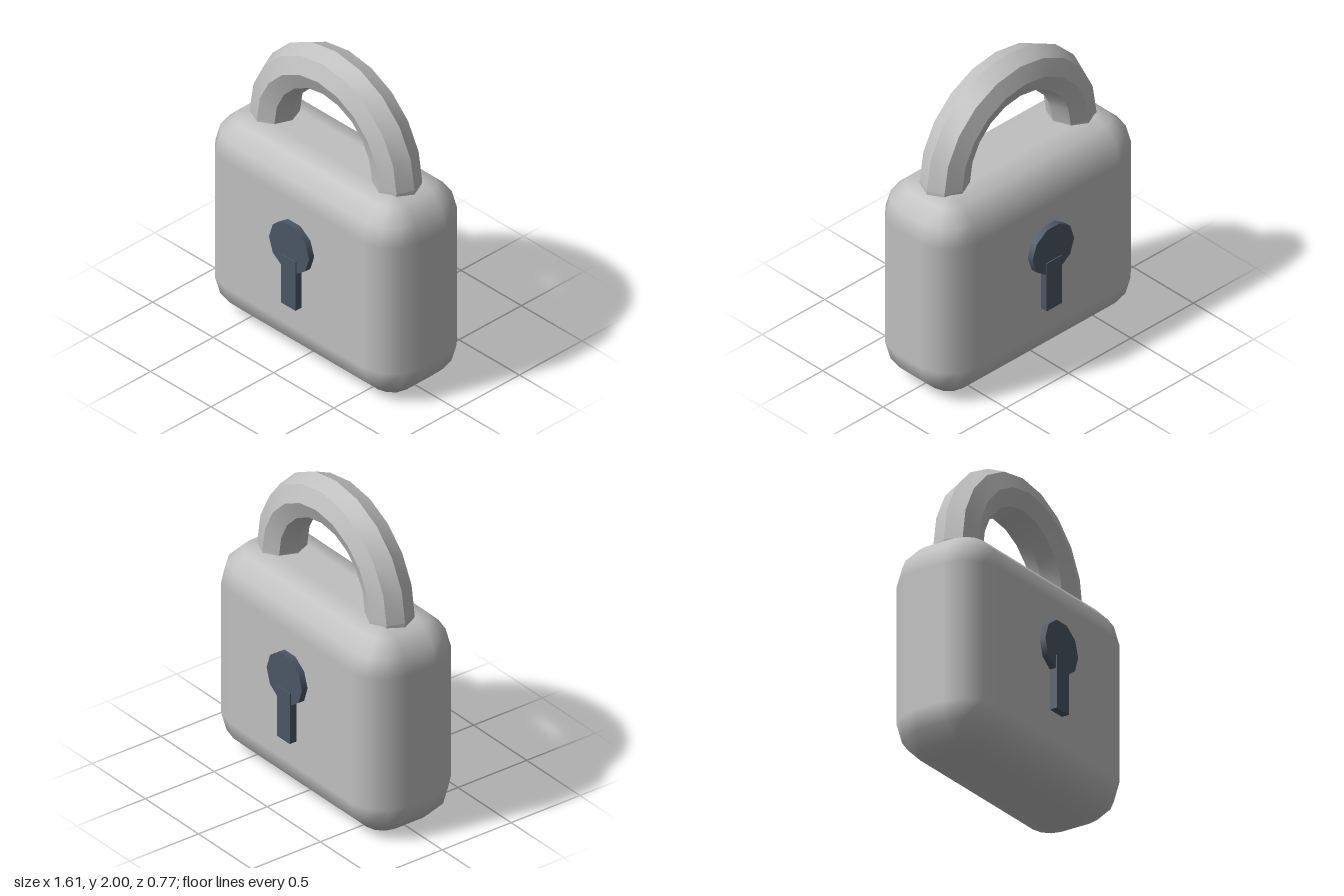
import * as THREE from 'three';
import { toCreasedNormals } from 'three/addons/utils/BufferGeometryUtils.js';

// Box with three-segment rounded edges, built from horizontal rings
function roundedBlock(w, h, d, r, seg) {
  const pos = [], nor = [], index = [];
  const cols = 4 * (seg + 1), rows = 2 * (seg + 1);
  for (let j = 0; j < rows; j++) {
    const upper = j > seg;
    const lat = (upper ? j - seg - 1 : j - seg) / seg * Math.PI / 2;
    for (let i = 0; i < cols; i++) {
      const corner = Math.floor(i / (seg + 1));
      const lon = (corner + (i % (seg + 1)) / seg) * Math.PI / 2;
      const n = [Math.cos(lat) * Math.cos(lon), Math.sin(lat), Math.cos(lat) * Math.sin(lon)];
      const sx = corner === 0 || corner === 3 ? 1 : -1;
      const sz = corner < 2 ? 1 : -1;
      pos.push(sx * (w / 2 - r) + r * n[0], (upper ? 1 : -1) * (h / 2 - r) + r * n[1], sz * (d / 2 - r) + r * n[2]);
      nor.push(...n);
    }
  }
  for (let j = 0; j < rows - 1; j++) {
    for (let i = 0; i < cols; i++) {
      const a = j * cols + i, b = j * cols + (i + 1) % cols;
      index.push(a, a + cols, b, b, a + cols, b + cols);
    }
  }
  // flat bottom and top
  const top = (rows - 1) * cols;
  for (let i = 1; i < cols - 1; i++) {
    index.push(0, i, i + 1, top, top + i + 1, top + i);
  }
  const geo = new THREE.BufferGeometry();
  geo.setAttribute('position', new THREE.Float32BufferAttribute(pos, 3));
  geo.setAttribute('normal', new THREE.Float32BufferAttribute(nor, 3));
  geo.setIndex(index);
  return geo;
}

export function createModel() {
  const model = new THREE.Group();
  model.name = 'padlock';

  const steel = new THREE.MeshStandardMaterial({ color: 0xc0c0c0 });
  steel.name = 'steel grey';
  const slate = new THREE.MeshStandardMaterial({ color: 0x4b5766 });
  slate.name = 'dark slate';

  function add(name, geo, mat, x, y, z, parent = model) {
    const mesh = new THREE.Mesh(geo, mat);
    mesh.name = name;
    mesh.position.set(x, y, z);
    parent.add(mesh);
    return mesh;
  }

  // Body
  add('body', roundedBlock(1.61, 1.345, 0.67, 0.235, 3), steel, 0, 0.6725, 0);

  // Shackle: octagonal half ring with short legs sunk into the body
  const shackle = new THREE.Group();
  shackle.name = 'shackle';
  model.add(shackle);
  const crease = Math.PI / 6;
  const arch = new THREE.TorusGeometry(0.505, 0.145, 8, 10, Math.PI);
  add('shackleArch', toCreasedNormals(arch, crease), steel, 0, 1.35, 0, shackle);
  for (const side of [-1, 1]) {
    const leg = new THREE.CylinderGeometry(0.145, 0.145, 0.15, 8, 1, true);
    add(side > 0 ? 'leftLeg' : 'rightLeg', toCreasedNormals(leg, crease), steel, side * 0.505, 1.275, 0, shackle);
  }

  // Keyhole on front and back: ten-sided disc and slot
  for (const side of [-1, 1]) {
    const keyhole = new THREE.Group();
    keyhole.name = side > 0 ? 'frontKeyhole' : 'backKeyhole';
    model.add(keyhole);
    const disc = new THREE.CylinderGeometry(0.166, 0.166, 0.1, 10, 1, false, Math.PI / 2);
    disc.rotateX(Math.PI / 2);
    add('keyholeDisc', disc, slate, 0, 0.81, side * 0.326, keyhole);
    add('keyholeSlot', new THREE.BoxGeometry(0.122, 0.335, 0.1), slate, 0, 0.5725, side * 0.333, keyhole);
  }

  return model;
}
